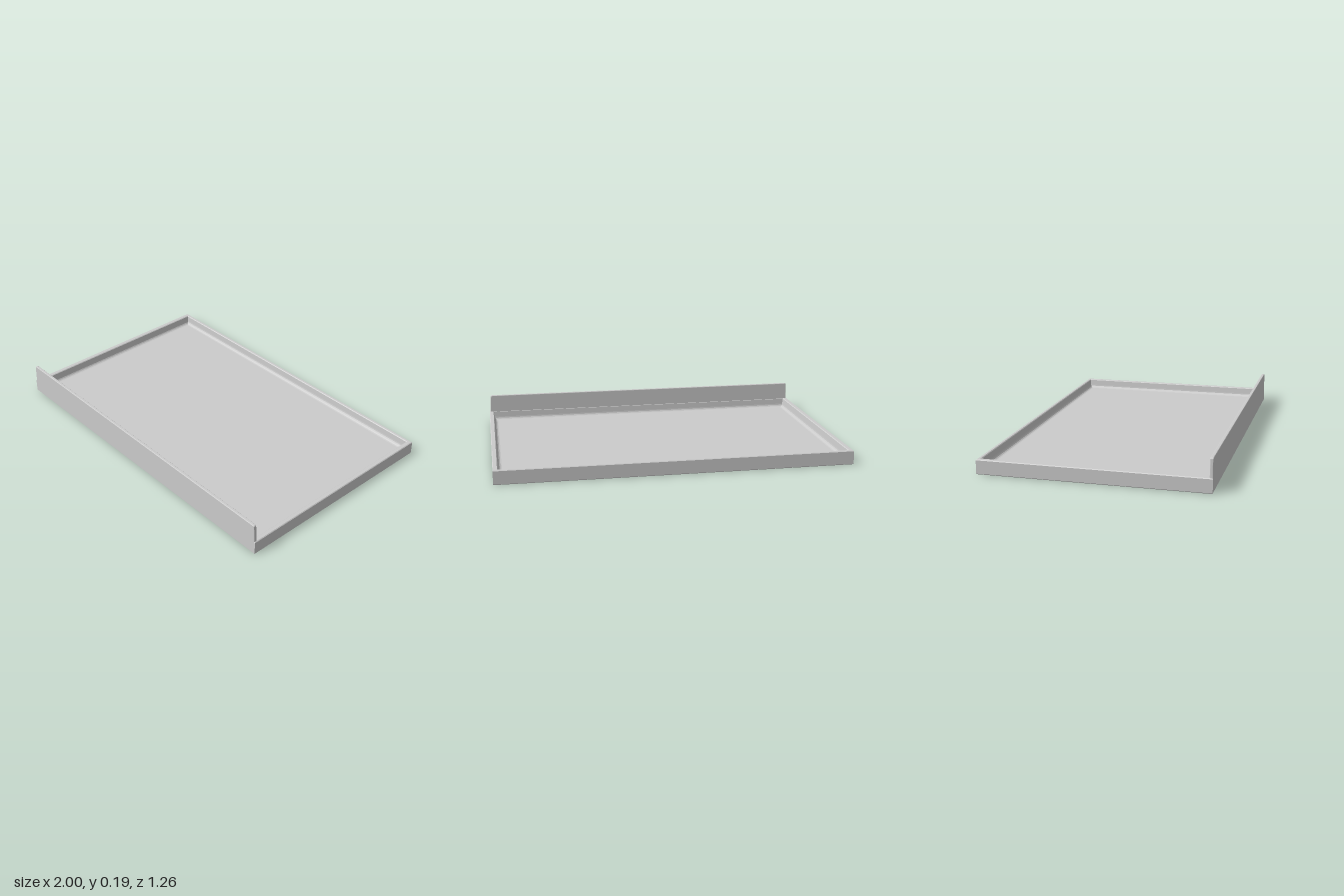
import * as THREE from 'three';

const material = new THREE.MeshStandardMaterial({ color: 0xcccccc, flatShading: true });

// Closed solid from rectangular rings [halfX, halfZ, y], walked up the outside and down the inside
function ringSolid(rings) {
  const positions = [];
  const index = [];
  for (const [x, z, y] of rings) positions.push(x, y, z, x, y, -z, -x, y, -z, -x, y, z);
  for (let r = 0; r < rings.length - 1; r++) {
    for (let k = 0; k < 4; k++) {
      const a = r * 4 + k, b = r * 4 + (k + 1) % 4;
      index.push(a, b, b + 4, a, b + 4, a + 4);
    }
  }
  const last = (rings.length - 1) * 4;
  index.push(3, 2, 1, 3, 1, 0, last, last + 1, last + 2, last, last + 2, last + 3);
  const geometry = new THREE.BufferGeometry();
  geometry.setAttribute('position', new THREE.Float32BufferAttribute(positions, 3));
  geometry.setIndex(index);
  const flat = geometry.toNonIndexed();
  flat.computeVertexNormals();
  return flat;
}

export function createModel() {
  const group = new THREE.Group();
  const W = 1, D = 0.628, H = 0.081, floorY = 0.025;

  // Shallow tray: eased outer edges, flat rim, steep inner wall and a small cove to the floor
  const rings = [
    [W - 0.004, D - 0.004, 0],
    [W, D, 0.004],
    [W, D, H - 0.004],
    [W - 0.004, D - 0.004, H],
    [W - 0.024, D - 0.016, H],
    [W - 0.028, D - 0.020, H - 0.004],
  ];
  const cove = 0.02;
  for (let i = 0; i <= 4; i++) {
    const t = (i / 4) * Math.PI / 2;
    const inset = cove * (1 - Math.cos(t));
    rings.push([W - 0.032 - inset, D - 0.022 - inset, floorY + cove * (1 - Math.sin(t))]);
  }
  const tray = new THREE.Mesh(ringSolid(rings), material);
  tray.name = 'tray';
  group.add(tray);

  // Raised front lip with slightly tapered ends and eased edges
  const b = 0.004;
  const y0 = 0.07, y1 = 0.185 - b;
  const shape = new THREE.Shape();
  shape.moveTo(-0.996 + b, y0);
  shape.lineTo(0.996 - b, y0);
  shape.lineTo(0.99 - b, y1 - 0.006);
  shape.quadraticCurveTo(0.99 - b, y1, 0.984 - b, y1);
  shape.lineTo(-0.984 + b, y1);
  shape.quadraticCurveTo(-0.99 + b, y1, -0.99 + b, y1 - 0.006);
  shape.closePath();
  const lipGeometry = new THREE.ExtrudeGeometry(shape, {
    depth: 0.018 - 2 * b, bevelEnabled: true, bevelSize: b, bevelThickness: b,
    bevelSegments: 3, curveSegments: 4,
  });
  lipGeometry.translate(0, 0, D - 0.018 + b);
  const lip = new THREE.Mesh(lipGeometry, material);
  lip.name = 'frontLip';
  group.add(lip);

  return group;
}
